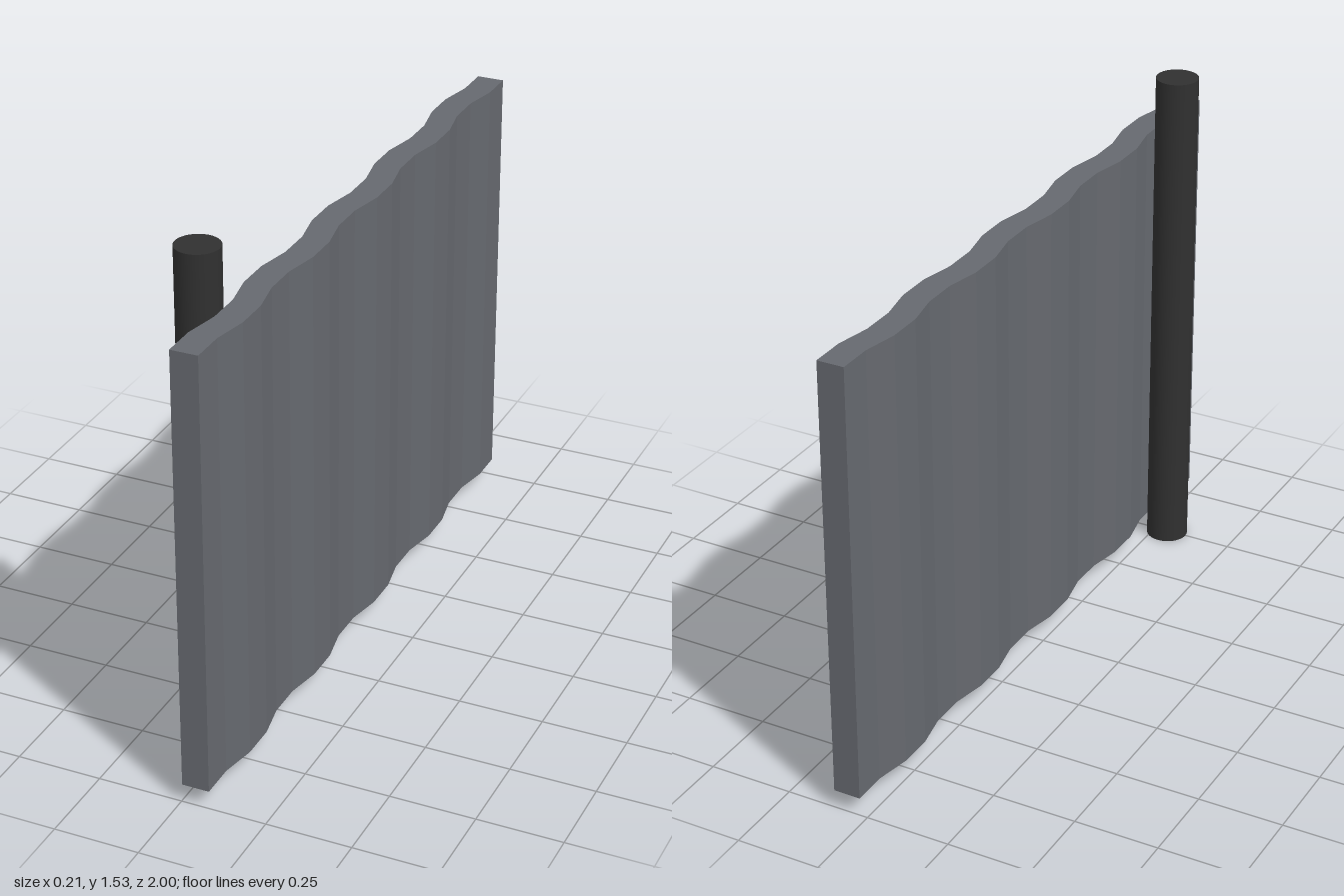
import * as THREE from 'three';

export function createModel() {
  const model = new THREE.Group();

  // Corrugated panel: a wavy strip in plan, extruded upwards
  const segments = 19, thickness = 0.08, bottom = 0.055, top = 1.362;
  const wave = [];
  for (let i = 0; i <= segments; i++) {
    const x = i % 4 < 2 ? 0.023 : 0.003; // two ridge points, then two valley points
    wave.push(new THREE.Vector2(x, 1 - (2 * i) / segments));
  }
  const outer = wave.map((p) => new THREE.Vector2(p.x + thickness, p.y)).reverse();
  const panelGeometry = new THREE.ExtrudeGeometry(new THREE.Shape([...wave, ...outer]), {
    depth: top - bottom,
    bevelEnabled: false,
  });
  panelGeometry.rotateX(-Math.PI / 2);
  const panel = new THREE.Mesh(
    panelGeometry,
    new THREE.MeshStandardMaterial({ color: 0x66696f, flatShading: true })
  );
  panel.name = 'corrugatedPanel';
  panel.position.y = bottom;
  model.add(panel);

  // Round post standing behind the panel near its front end
  const height = 1.532;
  const post = new THREE.Mesh(
    new THREE.CylinderGeometry(0.063, 0.063, height, 32),
    new THREE.MeshStandardMaterial({ color: 0x303030 })
  );
  post.name = 'post';
  post.position.set(-0.042, height / 2, 0.747);
  model.add(post);

  return model;
}
